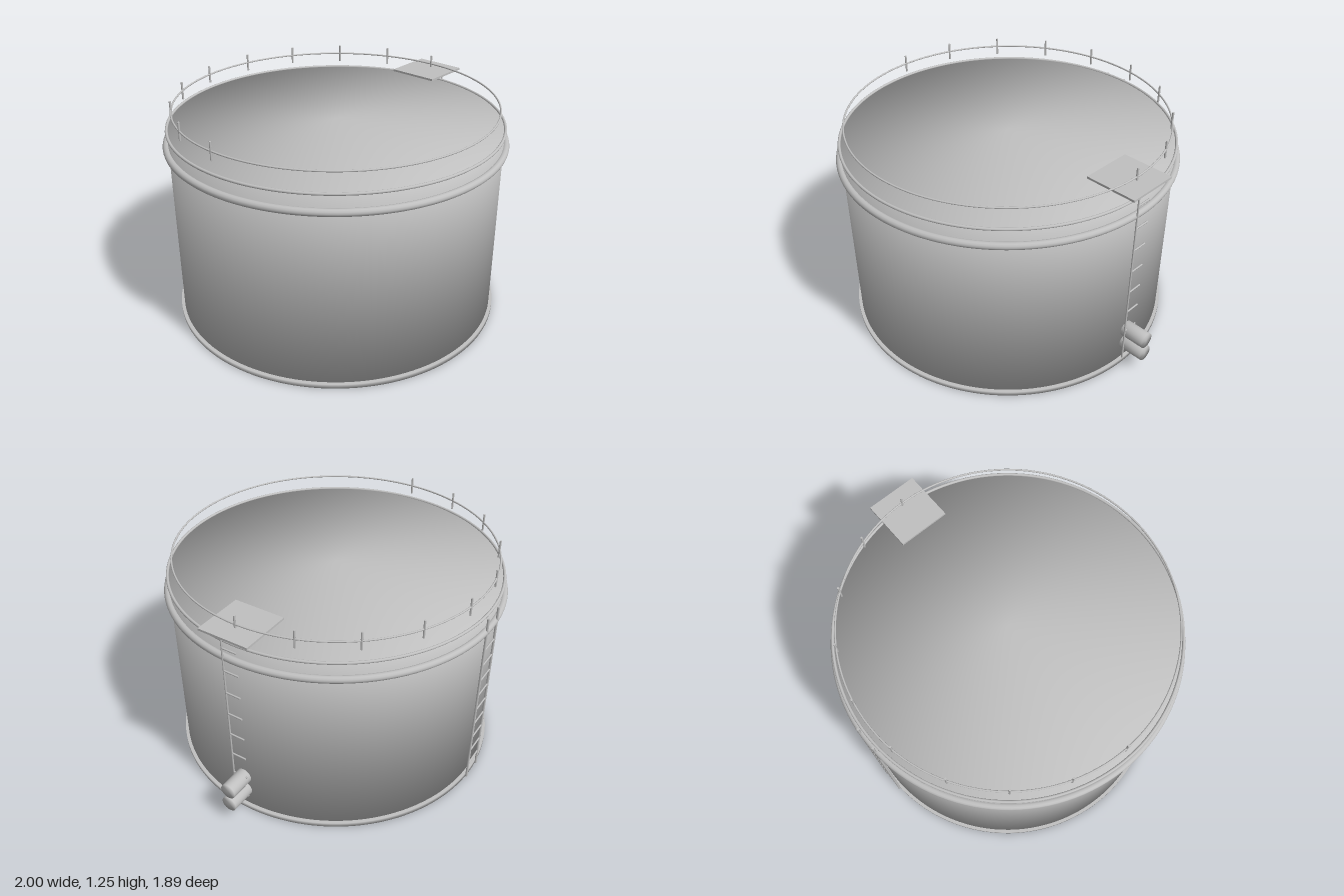
import * as THREE from 'three';

const steel = new THREE.MeshStandardMaterial({ color: 0xc0c0c0 });
steel.name = 'grey steel';

function add(parent, name, geometry, x = 0, y = 0, z = 0) {
  const mesh = new THREE.Mesh(geometry, steel);
  mesh.name = name;
  mesh.position.set(x, y, z);
  parent.add(mesh);
  return mesh;
}

// Closed drum standing on its base, with normals blended softly over the rims
function drum(radius, height, sides) {
  const profile = [[0, 0], [radius, 0], [radius, height], [0, height]];
  return new THREE.LatheGeometry(profile.map(([x, y]) => new THREE.Vector2(x, y)), sides);
}

function hoop(parent, name, radius, tube, y) {
  add(parent, name, new THREE.TorusGeometry(radius, tube, 12, 128), 0, y).rotation.x = Math.PI / 2;
}

const rod = (radius, length) => new THREE.CylinderGeometry(radius, radius, length, 8);

export function createModel() {
  const model = new THREE.Group();
  model.name = 'storageTank';

  // Everything is laid out around the tank's axis, which sits left of the origin
  const tank = new THREE.Group();
  tank.name = 'tank';
  tank.position.x = -0.055;
  model.add(tank);

  // Shell with base plate and stiffening hoops
  add(tank, 'shell', drum(0.915, 1.095, 128), 0, 0.006, 0);
  add(tank, 'basePlate', drum(0.933, 0.025, 128));
  hoop(tank, 'windGirder', 0.925, 0.02, 1.012);
  hoop(tank, 'topRim', 0.917, 0.008, 1.102);

  // Handrail, with posts along the rear half
  const railRadius = 0.885;
  hoop(tank, 'handrail', railRadius, 0.005, 1.2);
  for (let i = 0; i < 10; i++) {
    const a = i * Math.PI / 9;
    add(tank, 'railPost', rod(0.006, 0.1), railRadius * Math.cos(a), 1.2, -railRadius * Math.sin(a));
  }

  // Platform at the rim
  add(tank, 'platform', new THREE.BoxGeometry(0.29, 0.012, 0.29), 0.84, 1.174, 0);

  // Two pipe stubs, one above the other
  for (const y of [0.13, 0.223]) {
    add(tank, 'pipe', drum(0.045, 0.175, 32), 0.88, y, 0).rotation.z = -Math.PI / 2;
  }

  // Single-rail ladder beside the pipes
  const sideLadder = new THREE.Group();
  sideLadder.name = 'sideLadder';
  sideLadder.position.x = 0.942;
  tank.add(sideLadder);
  add(sideLadder, 'ladderRail', rod(0.005, 1.085), 0, 0.592, 0.046);
  for (let i = 0; i < 8; i++) {
    add(sideLadder, 'rung', rod(0.005, 0.09), 0, 0.112 + i * 0.138, 0.002).rotation.x = Math.PI / 2;
  }

  // Two-rail ladder at the back
  const backLadder = new THREE.Group();
  backLadder.name = 'backLadder';
  backLadder.position.z = -0.935;
  tank.add(backLadder);
  for (const x of [-0.063, 0.063]) add(backLadder, 'ladderRail', rod(0.007, 1.1), x, 0.55, 0);
  for (let i = 1; i <= 10; i++) {
    add(backLadder, 'rung', rod(0.005, 0.126), 0, i * 0.1, 0).rotation.z = Math.PI / 2;
  }

  return model;
}
